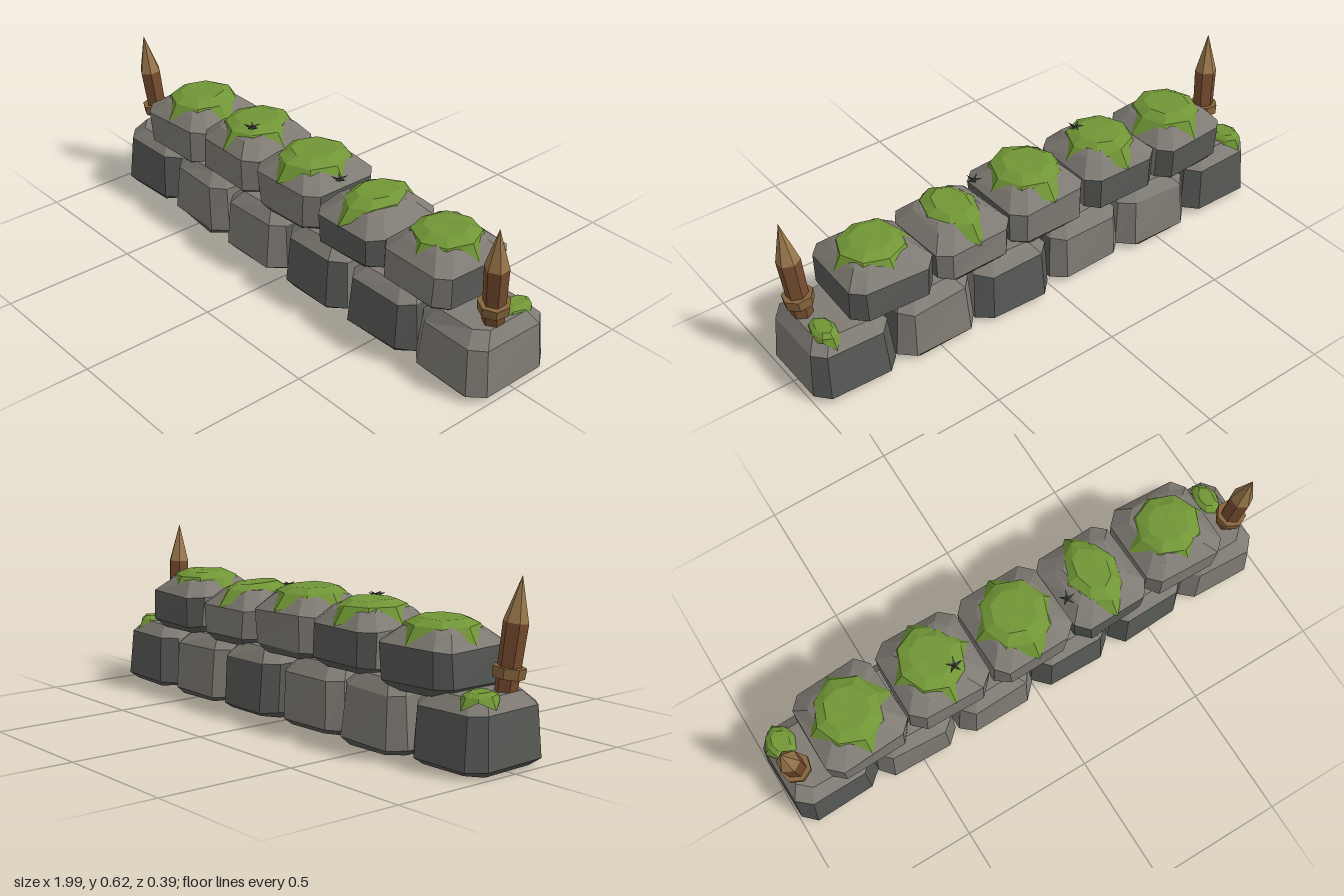
import * as THREE from 'three';

const mat = (name, color) => {
  const m = new THREE.MeshStandardMaterial({ color, flatShading: true, side: THREE.DoubleSide });
  m.name = name;
  return m;
};
const lightStone = mat('lightStone', 0x7f7b74);
const darkStone = mat('darkStone', 0x585a56);
const mossGreen = mat('mossGreen', 0x719636);
const darkWood = mat('darkWood', 0x764c2f);
const paleWood = mat('paleWood', 0x9a784c);
const ropeWood = mat('ropeWood', 0x84633b);
const darkLeaf = mat('darkLeaf', 0x41443c);

let seed = 7;
const jitter = (amount) => {
  seed = (seed * 16807) % 2147483647;
  return (seed / 2147483647 - 0.5) * 2 * amount;
};

// Skins rings of equal length from bottom to top and closes the top.
// pick(band, side) gives a material index; the cap is band = rings.length - 1.
function loft(rings, pick) {
  const pos = [];
  const geo = new THREE.BufferGeometry();
  const tri = (a, b, c, m) => {
    geo.addGroup(pos.length / 3, 3, m);
    pos.push(...a, ...b, ...c);
  };
  const n = rings[0].length;
  for (let k = 0; k < rings.length - 1; k++) {
    for (let i = 0; i < n; i++) {
      const j = (i + 1) % n, lo = rings[k], hi = rings[k + 1], m = pick(k, i);
      tri(lo[i], lo[j], hi[j], m);
      tri(lo[i], hi[j], hi[i], m);
    }
  }
  const top = rings[rings.length - 1];
  const mid = [0, 1, 2].map((c) => top.reduce((s, p) => s + p[c], 0) / n);
  for (let i = 0; i < n; i++) tri(top[i], top[(i + 1) % n], mid, pick(rings.length - 1, i));
  geo.setAttribute('position', new THREE.Float32BufferAttribute(pos, 3));
  geo.computeVertexNormals();
  return geo;
}

// Rectangle with cut corners, starting on the +x side and turning to the back
function cutRect(a, b, c, y) {
  return [
    [a, b - c], [a, c - b], [a - c, -b], [c - a, -b],
    [-a, c - b], [-a, b - c], [c - a, b], [a - c, b],
  ].map(([x, z]) => [x + jitter(0.005), y + jitter(0.004), z + jitter(0.005)]);
}

// Face tones in the order front, back, +x side, -x side
const SIDE_TONE = [2, 1, 1, 1, 3, 0, 0, 0];

function stone(name, x, z, yaw, profile, tones) {
  const rings = profile.map(([y, a, b, c]) => cutRect(a, b, c, y));
  const pick = (band, side) => {
    if (band === 0) return 1;
    if (band === 1) return tones[SIDE_TONE[side]] === 'D' ? 1 : 0;
    return 0;
  };
  const mesh = new THREE.Mesh(loft(rings, pick), [lightStone, darkStone]);
  mesh.name = name;
  mesh.position.set(x, 0, z);
  mesh.rotation.y = yaw;
  return mesh;
}

// Draped moss cap with pointed tongues along the axes
function moss(name, x, top, z, rx, rz, drop) {
  const ring = (r, y, tongue = 0, sag = 0) => Array.from({ length: 8 }, (_, i) => {
    const t = (i * Math.PI) / 4, p = i % 2 ? 0 : 1;
    const rr = r + tongue * p + jitter(0.03);
    return [Math.cos(t) * rr * rx, y - sag * p + jitter(drop * 0.04), -Math.sin(t) * rr * rz];
  });
  const rings = [
    ring(1.02, -drop * 0.52, 0.24, drop * 0.46),
    ring(0.93, -drop * 0.27),
    ring(0.62, -drop * 0.06),
  ];
  const mesh = new THREE.Mesh(loft(rings, () => 0), [mossGreen]);
  mesh.name = name;
  mesh.position.set(x, top, z);
  return mesh;
}

// Sharpened stake with a binding, leaning outward and forward
function stake(side) {
  const g = new THREE.Group();
  g.name = side > 0 ? 'leftStake' : 'rightStake';
  const add = (name, geo, material, y) => {
    const m = new THREE.Mesh(geo, material);
    m.name = name;
    m.position.y = y;
    g.add(m);
  };
  add('shaft', new THREE.CylinderGeometry(0.042, 0.034, 0.41, 6), darkWood, 0.205);
  add('tip', new THREE.ConeGeometry(0.042, 0.15, 6), paleWood, 0.485);
  add('binding', new THREE.CylinderGeometry(0.056, 0.054, 0.036, 7), ropeWood, 0.25);
  const base = new THREE.Vector3(side * 0.902, 0.06, 0.02);
  const lean = new THREE.Vector3(side * 0.945, 0.615, 0.07).sub(base).normalize();
  g.position.copy(base);
  g.quaternion.setFromUnitVectors(new THREE.Vector3(0, 1, 0), lean);
  return g;
}

// Tiny sprig of flat leaves
function sprig(x, y, z) {
  const g = new THREE.Group();
  g.name = 'sprig';
  for (let i = 0; i < 5; i++) {
    const leaf = new THREE.Mesh(new THREE.ConeGeometry(0.008, 0.034, 3), darkLeaf);
    leaf.name = 'leaf';
    leaf.geometry.translate(0, 0.017, 0);
    leaf.rotation.set(0, (i * Math.PI * 2) / 5, -1.25, 'YXZ');
    g.add(leaf);
  }
  g.position.set(x, y, z);
  return g;
}

export function createModel() {
  const model = new THREE.Group();
  model.name = 'stoneWall';

  // Lower course: x, z, yaw, half depth, height, face tones
  [
    [-0.832, -0.003, 0.02, 0.175, 0.25, 'DDDD'],
    [-0.5, -0.003, -0.03, 0.188, 0.255, 'LLLL'],
    [-0.167, 0.003, 0.02, 0.184, 0.25, 'LLDL'],
    [0.167, -0.005, -0.02, 0.186, 0.255, 'DDLD'],
    [0.5, 0, 0.02, 0.178, 0.25, 'DLDL'],
    [0.832, -0.002, -0.02, 0.178, 0.247, 'LDLL'],
  ].forEach(([x, z, yaw, d, h, tones]) => {
    model.add(stone('lowerStone', x, z, yaw, [
      [0.004, 0.14, d - 0.02, 0.05],
      [0.026, 0.163, d, 0.05],
      [h - 0.05, 0.152, d - 0.014, 0.045],
      [h - 0.004, 0.115, d - 0.055, 0.04],
    ], tones));
  });

  // Upper course with moss: x, z, yaw, half width, base, top, moss radii, face tones
  [
    [-0.672, -0.005, 0.03, 0.164, 0.222, 0.462, 0.13, 0.135, 'LDLD'],
    [-0.333, -0.008, -0.03, 0.162, 0.24, 0.482, 0.125, 0.135, 'LDLL'],
    [0, 0, 0.02, 0.164, 0.24, 0.486, 0.13, 0.14, 'LLDL'],
    [0.327, 0, 0.04, 0.158, 0.24, 0.462, 0.1, 0.14, 'DLDD'],
    [0.655, -0.005, -0.03, 0.162, 0.24, 0.472, 0.125, 0.125, 'LDDL'],
  ].forEach(([x, z, yaw, a, y0, y1, rx, rz, tones]) => {
    model.add(stone('upperStone', x, z, yaw, [
      [y0, a - 0.035, 0.135, 0.04],
      [y0 + 0.03, a - 0.004, 0.163, 0.045],
      [y1 - 0.088, a, 0.166, 0.045],
      [y1 - 0.04, a - 0.047, 0.117, 0.04],
      [y1 - 0.025, a - 0.07, 0.09, 0.035],
    ], tones));
    model.add(moss('mossCap', x, y1, z, rx, rz, 0.09));
  });

  // Moss on the end stones
  model.add(moss('endMoss', -0.922, 0.268, -0.085, 0.055, 0.068, 0.055));
  model.add(moss('endMoss', 0.905, 0.266, -0.08, 0.045, 0.068, 0.055));

  model.add(stake(1), stake(-1));
  model.add(sprig(-0.28, 0.472, 0.06), sprig(0.19, 0.453, 0.05));
  return model;
}
